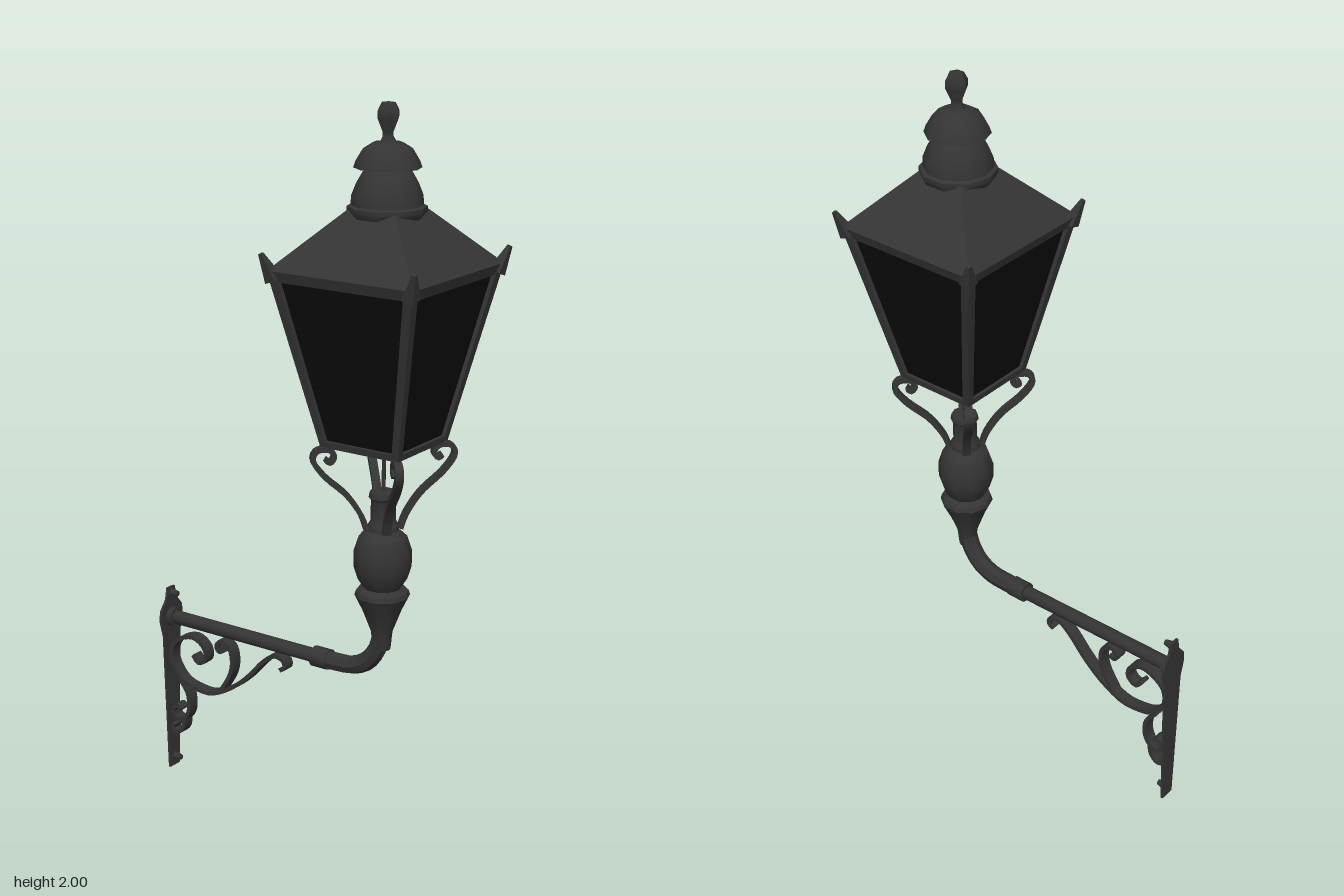
import * as THREE from 'three';
import { toCreasedNormals } from 'three/addons/utils/BufferGeometryUtils.js';

const AXIS_Z = 0.25; // vertical axis of the lantern
const PIPE_Y = 0.475; // height of the wall arm
const BACK_Z = -0.482;

export function createModel() {
  const model = new THREE.Group();
  model.name = 'wallLantern';
  const iron = new THREE.MeshStandardMaterial({ color: 0x343434 });
  iron.name = 'darkIron';
  const glass = new THREE.MeshStandardMaterial({ color: 0x0b0b0b });
  glass.name = 'blackGlass';

  const add = (name, geo, parent, mat = iron) => {
    const mesh = new THREE.Mesh(toCreasedNormals(geo, 0.7), mat);
    mesh.name = name;
    parent.add(mesh);
    return mesh;
  };
  const group = (name, parent = model) => {
    const g = new THREE.Group();
    g.name = name;
    parent.add(g);
    return g;
  };
  const lathe = (profile, sides) =>
    new THREE.LatheGeometry(profile.map(([r, y]) => new THREE.Vector2(r, y)), sides);

  // square frustum given by half widths
  const frustum = (halfBottom, halfTop, y0, y1) =>
    new THREE.CylinderGeometry(halfTop * Math.SQRT2, halfBottom * Math.SQRT2, y1 - y0, 4)
      .rotateY(Math.PI / 4).translate(0, (y0 + y1) / 2, 0);

  // four-sided tapered bar between two points
  const bar = (a, b, ra, rb) => {
    const from = new THREE.Vector3(...a), dir = new THREE.Vector3(...b).sub(from);
    const geo = new THREE.CylinderGeometry(rb * Math.SQRT2, ra * Math.SQRT2, dir.length(), 4)
      .rotateY(Math.PI / 4).translate(0, dir.length() / 2, 0);
    const q = new THREE.Quaternion().setFromUnitVectors(new THREE.Vector3(0, 1, 0), dir.normalize());
    return geo.applyQuaternion(q).translate(...a);
  };

  // flat bar following a curve in the xy plane, width runs along z
  const scroll = (points, thickness, width) => {
    const curve = new THREE.SplineCurve(points.map(([x, y]) => new THREE.Vector2(x, y)));
    const left = [], right = [], n = points.length * 3;
    for (let i = 0; i <= n; i++) {
      const p = curve.getPoint(i / n), t = curve.getTangent(i / n);
      const off = new THREE.Vector2(-t.y, t.x).multiplyScalar(thickness / 2);
      left.push(p.clone().add(off));
      right.unshift(p.clone().sub(off));
    }
    return new THREE.ExtrudeGeometry(new THREE.Shape([...left, ...right]), { depth: width, bevelEnabled: false })
      .translate(0, 0, -width / 2);
  };

  // lantern head
  const head = group('lanternHead');
  head.position.z = AXIS_Z;
  add('glassPanes', frustum(0.11, 0.2, 1.135, 1.57), head, glass);
  add('bottomFrame', frustum(0.118, 0.121, 1.122, 1.14), head);
  add('topRail', frustum(0.207, 0.216, 1.56, 1.588), head);
  add('roof', frustum(0.216, 0.072, 1.588, 1.735), head);
  for (let i = 0; i < 4; i++) {
    const side = group('lanternCorner', head);
    side.rotation.y = i * Math.PI / 2;
    add('cornerPost', bar([0.11, 1.13, 0.11], [0.2, 1.575, 0.2], 0.01, 0.013), side);
    add('cornerEar', bar([0.203, 1.565, 0.203], [0.226, 1.632, 0.226], 0.017, 0.005), side);
  }

  // chimney and finial
  add('chimney', lathe([
    [0.094, 1.715], [0.102, 1.73], [0.102, 1.742], [0.092, 1.746], [0.09, 1.77], [0.078, 1.8],
    [0.062, 1.828], [0.055, 1.834], [0.055, 1.842], [0.086, 1.838], [0.08, 1.855],
    [0.062, 1.885], [0.038, 1.9], [0, 1.903],
  ], 10), head);
  add('finial', lathe([
    [0.024, 1.9], [0.015, 1.915], [0.015, 1.925], [0.03, 1.96], [0.03, 1.978], [0.02, 1.997], [0, 2],
  ], 6), head);

  // curled supports under the four corners
  const supportPath = [[0.045, 0.89], [0.062, 0.935], [0.1, 0.99], [0.155, 1.04], [0.187, 1.085],
    [0.178, 1.112], [0.148, 1.115], [0.132, 1.098], [0.142, 1.08], [0.155, 1.088]];
  for (let i = 0; i < 4; i++) {
    add('curledSupport', scroll(supportPath, 0.014, 0.022), head).rotation.y = Math.PI / 4 + i * Math.PI / 2;
  }
  add('gasRod', new THREE.CylinderGeometry(0.006, 0.006, 0.16, 6).translate(0, 1.055, 0), head);

  // turned stem
  add('stem', lathe([
    [0.024, 0.55], [0.029, 0.6], [0.052, 0.66], [0.074, 0.705], [0.07, 0.718], [0.052, 0.728],
    [0.066, 0.75], [0.077, 0.785], [0.077, 0.83], [0.064, 0.87], [0.042, 0.888], [0.042, 0.9],
    [0.033, 0.915], [0.033, 0.97], [0.039, 0.978], [0.036, 0.993], [0, 0.995],
  ], 10), head);

  // wall arm
  const arm = group('wallArm');
  const bend = new THREE.CatmullRomCurve3([[0.59, 0.25], [0.545, 0.236], [0.503, 0.205], [0.48, 0.16],
    [PIPE_Y, 0.11], [PIPE_Y, 0.05]].map(([y, z]) => new THREE.Vector3(0, y, z)));
  add('bentPipe', new THREE.TubeGeometry(bend, 12, 0.026, 8), arm);
  const ring = (name, r, z0, z1) => add(name, new THREE.CylinderGeometry(r, r, z1 - z0, 10)
    .rotateX(Math.PI / 2).translate(0, PIPE_Y, (z0 + z1) / 2), arm);
  ring('straightPipe', 0.02, BACK_Z, 0.06);
  ring('collar', 0.029, 0.03, 0.082);
  ring('wallFlange', 0.029, -0.48, -0.458);

  // wall plate
  const outline = [[0.022, 0], [0.036, 0.42], [0.049, 0.47], [0.046, 0.5], [0.022, 0.53], [0.015, 0.565]];
  const plateShape = new THREE.Shape([
    ...outline.map(([x, y]) => new THREE.Vector2(x, y)),
    ...outline.slice().reverse().map(([x, y]) => new THREE.Vector2(-x, y)),
  ]);
  add('wallPlate', new THREE.ExtrudeGeometry(plateShape, { depth: 0.007, bevelEnabled: false })
    .translate(0, 0, BACK_Z), arm);
  for (const y of [0.03, 0.548]) {
    add('screwHead', new THREE.CylinderGeometry(0.008, 0.013, 0.026, 8)
      .rotateX(Math.PI / 2).translate(0, y, -0.464), arm);
  }

  // scrollwork under the arm, points as [z, y]
  const scrolls = [
    [[-0.078, 0.408], [-0.062, 0.42], [-0.068, 0.44], [-0.1, 0.445], [-0.14, 0.415], [-0.19, 0.36],
      [-0.25, 0.31], [-0.32, 0.275], [-0.38, 0.275], [-0.43, 0.292], [-0.465, 0.34], [-0.462, 0.39],
      [-0.43, 0.42], [-0.385, 0.432], [-0.348, 0.41], [-0.343, 0.375], [-0.368, 0.358], [-0.388, 0.378]],
    [[-0.277, 0.418], [-0.293, 0.412], [-0.302, 0.428], [-0.283, 0.445], [-0.255, 0.43], [-0.246, 0.39],
      [-0.256, 0.345], [-0.29, 0.29]],
    [[-0.44, 0.292], [-0.41, 0.25], [-0.407, 0.2], [-0.425, 0.168], [-0.455, 0.163], [-0.466, 0.185],
      [-0.452, 0.203], [-0.438, 0.192]],
    [[-0.425, 0.168], [-0.43, 0.138], [-0.45, 0.118], [-0.468, 0.125], [-0.464, 0.142]],
  ];
  for (const points of scrolls) {
    add('bracketScroll', scroll(points, 0.012, 0.034).rotateY(-Math.PI / 2), arm);
  }
  return model;
}
